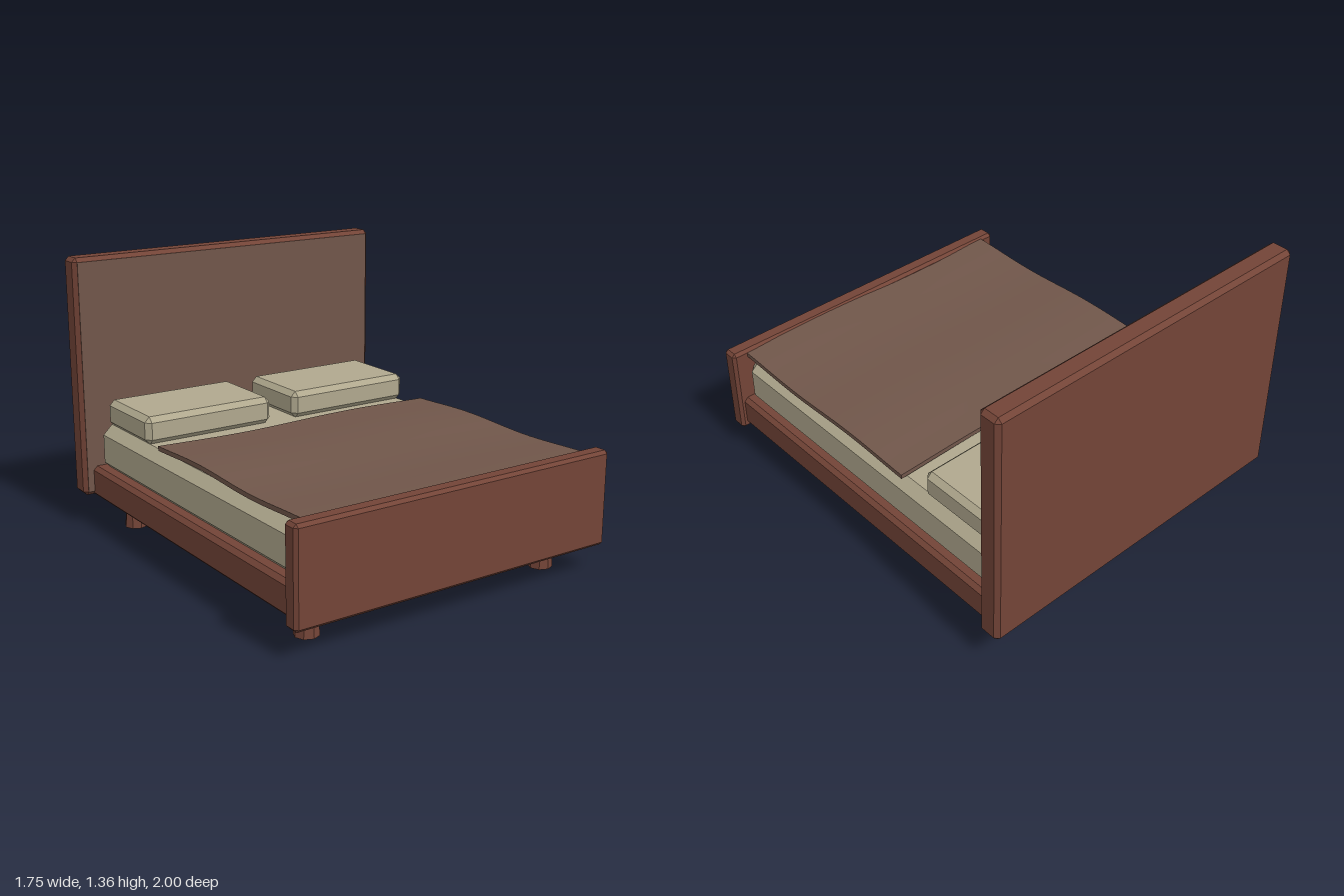
import * as THREE from 'three';
import { ConvexGeometry } from 'three/addons/geometries/ConvexGeometry.js';

const wood = new THREE.MeshStandardMaterial({ name: 'redBrownWood', color: 0x734437 });
const fabric = new THREE.MeshStandardMaterial({ name: 'brownFabric', color: 0x70564a });
const linen = new THREE.MeshStandardMaterial({ name: 'linen', color: 0xb0a88e });

// Box between two corners with every edge chamfered by b
function chamferBox(x0, x1, y0, y1, z0, z1, b) {
  const half = [(x1 - x0) / 2, (y1 - y0) / 2, (z1 - z0) / 2];
  const points = [];
  for (const sx of [-1, 1]) for (const sy of [-1, 1]) for (const sz of [-1, 1]) {
    for (let axis = 0; axis < 3; axis++) {
      const [x, y, z] = half.map((h, i) => (i === axis ? h : h - b));
      points.push(new THREE.Vector3(sx * x, sy * y, sz * z));
    }
  }
  return new ConvexGeometry(points).translate((x0 + x1) / 2, (y0 + y1) / 2, (z0 + z1) / 2);
}

export function createModel() {
  const bed = new THREE.Group();
  bed.name = 'bed';
  const add = (name, geometry, material) => {
    const mesh = new THREE.Mesh(geometry, material);
    mesh.name = name;
    bed.add(mesh);
    return mesh;
  };

  // Wooden structure
  add('headboard', chamferBox(-0.873, 0.873, 0.16, 1.36, -1, -0.885, 0.02), wood);
  add('footboard', chamferBox(-0.848, 0.848, 0.13, 0.585, 0.915, 1, 0.015), wood);
  add('bedFrame', chamferBox(-0.82, 0.82, 0.15, 0.31, -0.95, 0.95, 0.02), wood);

  // Upholstered face of the headboard
  const panel = new THREE.BoxGeometry(1.706, 1.16, 0.004).translate(0, 0.76, -0.885);
  add('headboardPanel', panel, fabric);

  // Mattress and pillows
  add('mattress', chamferBox(-0.78, 0.78, 0.29, 0.527, -0.885, 0.925, 0.048), linen);
  for (const side of [-1, 1]) {
    const pillow = chamferBox(-0.345, 0.345, 0.525, 0.66, -0.83, -0.405, 0.026);
    add(side > 0 ? 'leftPillow' : 'rightPillow', pillow, linen).position.x = side * 0.41;
  }

  // Blanket: thin slab with gentle waves
  const blanket = new THREE.BoxGeometry(1.54, 0.022, 1.19, 24, 1, 20).translate(0, 0.556, 0.325);
  const p = blanket.attributes.position;
  for (let i = 0; i < p.count; i++) {
    const x = p.getX(i), z = p.getZ(i);
    p.setY(i, p.getY(i) + 0.007 * Math.cos(7.2 * (z - 0.1)) + 0.006 * Math.sin(5 * x));
  }
  blanket.computeVertexNormals();
  add('blanket', blanket, fabric);

  // Eight-sided feet, wider at the floor
  const foot = new THREE.CylinderGeometry(0.045, 0.058, 0.16, 8).toNonIndexed();
  foot.computeVertexNormals();
  for (const x of [-0.655, 0.655]) for (const z of [-0.767, 0.785]) {
    add(`${z > 0 ? 'front' : 'back'}${x > 0 ? 'Left' : 'Right'}Leg`, foot, wood).position.set(x, 0.08, z);
  }
  return bed;
}
